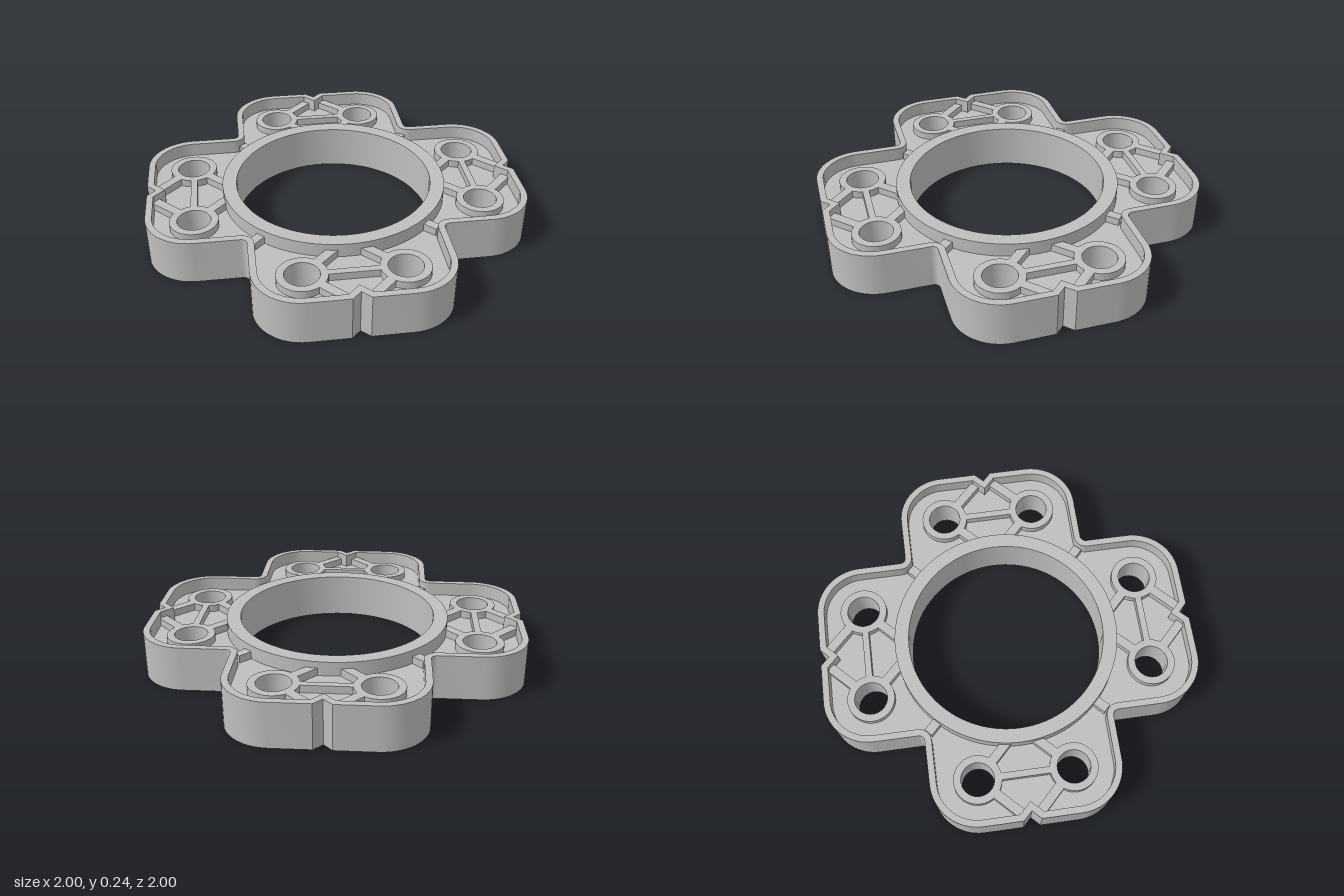
import * as THREE from 'three';
import { toCreasedNormals } from 'three/addons/utils/BufferGeometryUtils.js';

const HEIGHT = 0.24;
const BOSS = { x: 0.25, z: 0.755, hole: 0.087, radius: 0.126 };
const LOW = 0.035, HIGH = 0.205; // bosses and ribs sit below the rim on both sides

// Four-lobed outline, moved inwards by the given offset
function outline(offset) {
  const lobe = [];
  const arc = (cx, cy, r, from, to, steps) => {
    for (let i = 0; i <= steps; i++) {
      const a = THREE.MathUtils.degToRad(from + (to - from) * i / steps);
      lobe.push(new THREE.Vector2(cx + r * Math.cos(a), cy + r * Math.sin(a)));
    }
  };
  arc(0.525, 0.525, 0.03 + offset, 270, 180, 6);
  arc(BOSS.x, BOSS.z, 0.245 - offset, 0, 90, 16);
  // V notch at the lobe tip
  const nx = 0.045 + 0.414 * offset;
  lobe.push(new THREE.Vector2(nx, 1 - offset));
  lobe.push(new THREE.Vector2(0, 0.955 - 1.414 * offset));
  lobe.push(new THREE.Vector2(-nx, 1 - offset));
  arc(-BOSS.x, BOSS.z, 0.245 - offset, 90, 180, 16);

  const points = [];
  const origin = new THREE.Vector2();
  for (let k = 0; k < 4; k++) {
    for (const p of lobe) points.push(p.clone().rotateAround(origin, k * Math.PI / 2));
  }
  return points;
}

function circle(x, y, r) {
  return new THREE.Path().absarc(x, y, r, 0, Math.PI * 2, true);
}

// Lay an extruded shape flat between two heights
function slab(shape, y0, y1, segments = 16) {
  let g = new THREE.ExtrudeGeometry(shape, { depth: y1 - y0, bevelEnabled: false, curveSegments: segments });
  g.rotateX(-Math.PI / 2);
  g.translate(0, y0, 0);
  return toCreasedNormals(g, 0.5);
}

function ringShape(outer, inner) {
  const s = new THREE.Shape().absarc(0, 0, outer, 0, Math.PI * 2, false);
  s.holes.push(circle(0, 0, inner));
  return s;
}

export function createModel() {
  const model = new THREE.Group();
  const plastic = new THREE.MeshStandardMaterial({ color: 0xbfbfbf });
  plastic.name = 'grey plastic';

  const add = (parent, name, geometry) => {
    const mesh = new THREE.Mesh(geometry, plastic);
    mesh.name = name;
    parent.add(mesh);
    return mesh;
  };

  // Straight rib between two points in the ground plane
  const addRib = (parent, name, x0, z0, x1, z1, width) => {
    const length = Math.hypot(x1 - x0, z1 - z0);
    const rib = add(parent, name, new THREE.BoxGeometry(length, HIGH - LOW, width));
    rib.position.set((x0 + x1) / 2, (LOW + HIGH) / 2, (z0 + z1) / 2);
    rib.rotation.y = -Math.atan2(z1 - z0, x1 - x0);
  };

  // Outer wall
  const wall = new THREE.Shape(outline(0));
  wall.holes.push(new THREE.Path(outline(0.035).reverse()));
  add(model, 'outerWall', slab(wall, 0, HEIGHT));

  // Central hub ring
  add(model, 'hubRing', slab(ringShape(0.6, 0.525), 0, HEIGHT, 48));

  // Middle web, pierced for the hub and bosses
  const web = new THREE.Shape(outline(0.018));
  web.holes.push(circle(0, 0, 0.56));
  const { x, z } = BOSS;
  for (const sx of [-1, 1]) {
    for (const sz of [-1, 1]) {
      web.holes.push(circle(sx * x, sz * z, 0.105), circle(sx * z, sz * x, 0.105));
    }
  }
  add(model, 'web', slab(web, 0.08, 0.165));

  // Bosses and ribs of each lobe
  const bossGeometry = slab(ringShape(BOSS.radius, BOSS.hole), LOW, HIGH, 20);
  for (let k = 0; k < 4; k++) {
    const lobe = new THREE.Group();
    lobe.name = 'lobe' + (k + 1);
    lobe.rotation.y = k * Math.PI / 2;
    model.add(lobe);
    for (const s of [-1, 1]) {
      add(lobe, 'screwBoss', bossGeometry).position.set(s * x, 0, z);
      addRib(lobe, 'notchRib', s * (x - 0.078), z + 0.078, s * (x - 0.206), z + 0.206, 0.05);
      addRib(lobe, 'hubRib', s * (x - 0.078), z - 0.078, s * (x - 0.18), z - 0.18, 0.05);
    }
    addRib(lobe, 'crossRib', -x + 0.11, z, x - 0.11, z, 0.035);
    addRib(lobe, 'cornerRib', 0.41, 0.41, 0.475, 0.475, 0.05);
  }
  return model;
}
